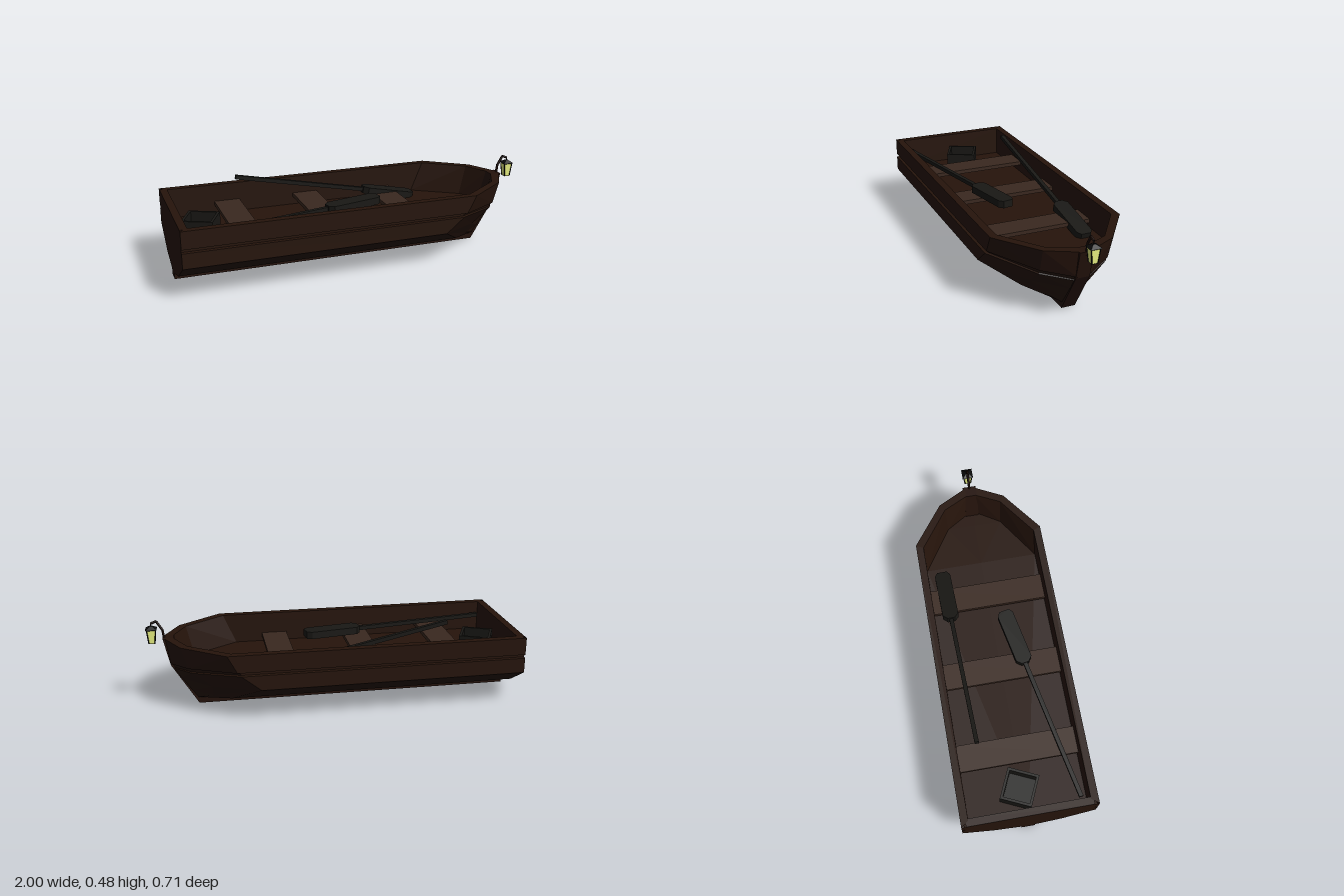
import * as THREE from 'three';

const mat = color => new THREE.MeshStandardMaterial({ color, flatShading: true, side: THREE.DoubleSide });
const wood = mat(0x26140b), keelWood = mat(0x24120b), seatWood = mat(0x3a281f);
const oarWood = mat(0x191815), iron = mat(0x0a0a0a), glass = mat(0xf2fa88);

function part(name, geometry, material, x = 0, y = 0, z = 0) {
  const m = new THREE.Mesh(geometry, material);
  m.name = name;
  m.position.set(x, y, z);
  return m;
}

function extrude(points, depth) {
  const shape = new THREE.Shape(points.map(p => new THREE.Vector2(...p)));
  return new THREE.ExtrudeGeometry(shape, { depth, bevelEnabled: false }).translate(0, 0, -depth / 2);
}

// Fore-and-aft lines of one half: stern, shoulder, cheek, stem
const lines = [
  [[-0.97, 0.214, 0], [0.5, 0.214, 0], [0.745, 0.214, 0], [0.83, 0.214, 0]],               // floor middle
  [[-0.97, 0.214, 0.315], [0.5, 0.214, 0.315], [0.745, 0.214, 0.155], [0.83, 0.214, 0.02]], // floor edge
  [[-0.97, 0.38, 0.315], [0.57, 0.38, 0.315], [0.785, 0.38, 0.16], [0.855, 0.38, 0.02]],   // inner rim
  [[-1, 0.38, 0.355], [0.59, 0.38, 0.355], [0.82, 0.38, 0.185], [0.9, 0.38, 0.03]],        // outer rim
  [[-1, 0.285, 0.355], [0.54, 0.285, 0.355], [0.785, 0.26, 0.182], [0.878, 0.238, 0.03]],  // groove top
  [[-1, 0.282, 0.34], [0.53, 0.282, 0.34], [0.777, 0.257, 0.177], [0.87, 0.235, 0.027]],
  [[-1, 0.268, 0.34], [0.52, 0.268, 0.34], [0.767, 0.24, 0.177], [0.86, 0.216, 0.027]],
  [[-1, 0.265, 0.355], [0.52, 0.265, 0.355], [0.77, 0.235, 0.182], [0.862, 0.212, 0.03]],  // groove bottom
  [[-1, 0.183, 0.355], [0.42, 0.183, 0.355], [0.665, 0.15, 0.178], [0.825, 0.15, 0.03]],   // chine
  [[-1, 0.075, 0.18], [0.565, 0.075, 0.18], [0.656, 0.075, 0.12], [0.775, 0.075, 0.03]],   // bilge
  [[-1, 0.032, 0.03], [0.72, 0.032, 0.03], [0.735, 0.032, 0.03], [0.745, 0.032, 0.03]],    // beside keel
];

function hullGeometry() {
  const pos = [];
  for (const side of [1, -1]) {
    for (let r = 0; r < lines.length - 1; r++) {
      for (let i = 0; i < 3; i++) {
        const a = lines[r][i], b = lines[r][i + 1], c = lines[r + 1][i + 1], d = lines[r + 1][i];
        const corners = side > 0 ? [a, d, c, a, c, b] : [a, c, d, a, b, c];
        for (const [x, y, z] of corners) pos.push(x, y, z * side);
      }
    }
  }
  const g = new THREE.BufferGeometry();
  g.setAttribute('position', new THREE.Float32BufferAttribute(pos, 3));
  g.computeVertexNormals();
  return g;
}

// Oar running from its grip to the blade tip
function oar(name, from, to) {
  const start = new THREE.Vector3(...from), dir = new THREE.Vector3(...to).sub(start);
  const L = dir.length(), g = new THREE.Group();
  g.name = name;
  const half = [[L - 0.32, 0.02], [L - 0.295, 0.044], [L - 0.025, 0.044], [L, 0.028]];
  const outline = [...half, ...half.map(([x, y]) => [x, -y]).reverse()];
  g.add(
    part('oarShaft', new THREE.BoxGeometry(L - 0.3, 0.022, 0.022), oarWood, (L - 0.3) / 2),
    part('oarBlade', extrude(outline, 0.04).rotateX(Math.PI / 2), oarWood));
  g.position.copy(start);
  g.quaternion.setFromUnitVectors(new THREE.Vector3(1, 0, 0), dir.normalize());
  return g;
}

function crate() {
  const g = new THREE.Group();
  g.name = 'openCrate';
  const s = 0.17, t = 0.014, h = 0.095;
  for (const k of [1, -1]) {
    g.add(part('crateSide', new THREE.BoxGeometry(s, h, t), oarWood, 0, h / 2, k * (s - t) / 2));
    g.add(part('crateEnd', new THREE.BoxGeometry(t, h, s - 2 * t), oarWood, k * (s - t) / 2, h / 2, 0));
  }
  g.add(part('crateBottom', new THREE.BoxGeometry(s - 2 * t, 0.012, s - 2 * t), oarWood, 0, 0.012, 0));
  g.position.set(-0.835, 0.214, -0.025);
  g.rotation.y = -0.43;
  return g;
}

function lantern() {
  const g = new THREE.Group();
  g.name = 'lantern';
  // four-sided frustum; radii are half widths
  const frustum = (top, bottom, h) =>
    new THREE.CylinderGeometry(top * Math.SQRT2, bottom * Math.SQRT2, h, 4).rotateY(Math.PI / 4);
  g.add(
    part('lanternGlass', frustum(0.0235, 0.016, 0.074), glass, 0, 0.389),
    part('lanternBase', frustum(0.017, 0.016, 0.003), iron, 0, 0.352),
    part('lanternRoof', frustum(0.007, 0.03, 0.016), iron, 0, 0.438),
    part('lanternEaves', frustum(0.03, 0.025, 0.004), iron, 0, 0.428),
    part('lanternHook', new THREE.CylinderGeometry(0.003, 0.003, 0.02, 6), iron, 0, 0.453));
  for (const sx of [1, -1]) for (const sz of [1, -1]) {
    const low = new THREE.Vector3(sx * 0.016, 0.352, sz * 0.016);
    const high = new THREE.Vector3(sx * 0.0235, 0.426, sz * 0.0235);
    g.add(part('lanternBar', new THREE.TubeGeometry(new THREE.LineCurve3(low, high), 1, 0.003, 4), iron));
  }
  g.position.x = 0.967;
  return g;
}

export function createModel() {
  const boat = new THREE.Group();
  boat.name = 'rowingBoat';
  boat.add(part('hull', hullGeometry(), wood));

  // Transom: outer face follows the hull section, with a plank behind it
  const half = lines.slice(3).map(l => [l[0][2], l[0][1]]);
  const section = [...half, ...half.map(([z, y]) => [-z, y]).reverse()];
  const shape = new THREE.Shape(section.map(p => new THREE.Vector2(...p)));
  boat.add(part('transom', new THREE.ShapeGeometry(shape).rotateY(-Math.PI / 2), wood, -1));
  boat.add(part('transomPlank', new THREE.BoxGeometry(0.04, 0.18, 0.66), wood, -0.9795, 0.2895));

  // Keel and stem in one piece
  boat.add(part('keelAndStem', extrude([[-1, 0], [0.735, 0], [0.875, 0.23], [0.91, 0.38],
    [0.85, 0.38], [0.81, 0.2], [0.69, 0.04], [-1, 0.04]], 0.074), keelWood));

  for (const [x, y] of [[-0.632, 0.272], [-0.175, 0.27], [0.278, 0.251]])
    boat.add(part('seat', new THREE.BoxGeometry(0.143, 0.022, 0.63), seatWood, x, y, 0));

  boat.add(oar('rightOar', [-0.6, 0.447, -0.207], [0.463, 0.222, -0.235]));
  boat.add(oar('leftOar', [-0.94, 0.312, 0.278], [0.13, 0.328, 0.065]));
  boat.add(crate());

  // Bent bracket that carries the lantern
  const bends = [[0.9, 0.36], [0.908, 0.42], [0.938, 0.471], [0.967, 0.46]]
    .map(([x, y]) => new THREE.Vector3(x, y, 0));
  for (let i = 0; i < 3; i++)
    boat.add(part('lanternBracket', new THREE.TubeGeometry(
      new THREE.LineCurve3(bends[i], bends[i + 1]), 1, 0.007, 6), keelWood));
  boat.add(lantern());
  return boat;
}
